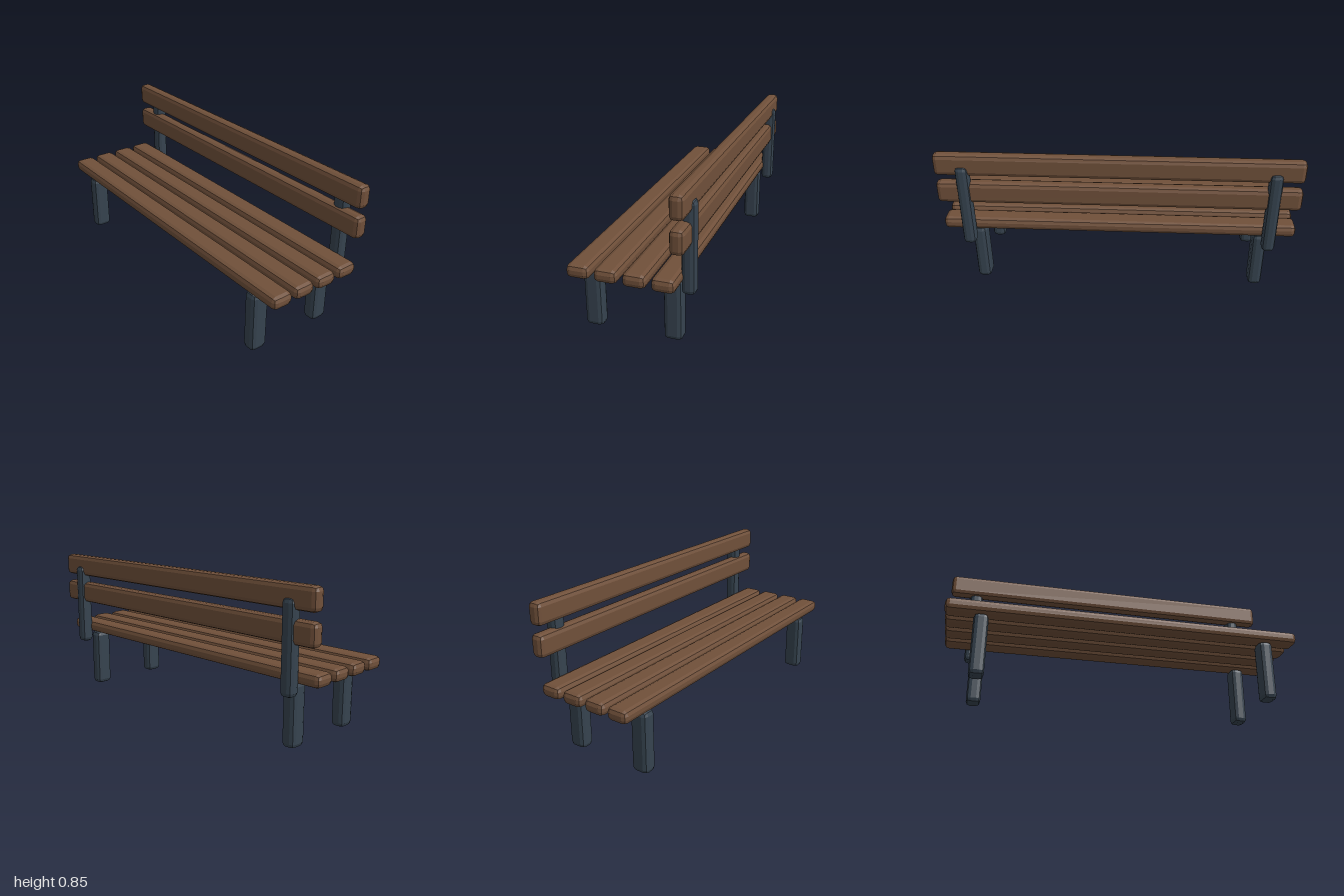
import * as THREE from 'three';
import { RoundedBoxGeometry } from 'three/addons/geometries/RoundedBoxGeometry.js';

export function createModel() {
  const bench = new THREE.Group();
  bench.name = 'bench';
  const wood = new THREE.MeshStandardMaterial({ color: 0x70503a, flatShading: true });
  const metal = new THREE.MeshStandardMaterial({ color: 0x36434f, flatShading: true });

  // Chamfered bar given by size and centre
  function bar(name, material, [w, h, d], [x, y, z], radius) {
    const mesh = new THREE.Mesh(new RoundedBoxGeometry(w, h, d, 1, radius), material);
    mesh.name = name;
    mesh.position.set(x, y, z);
    bench.add(mesh);
  }

  // Seat slats, front to back
  [0.25, 0.105, -0.042, -0.188].forEach((z, i) =>
    bar(`seatSlat${i + 1}`, wood, [2, 0.07, 0.12], [0, 0.387, z], 0.025));

  // Backrest slats
  bar('lowerBackSlat', wood, [2, 0.126, 0.075], [0, 0.618, -0.257], 0.025);
  bar('upperBackSlat', wood, [2, 0.126, 0.075], [0, 0.787, -0.257], 0.025);

  // Legs and back posts, mirrored left and right
  for (const [side, s] of [['left', 1], ['right', -1]]) {
    bar(`${side}FrontLeg`, metal, [0.08, 0.35, 0.1], [s * 0.807, 0.175, 0.251], 0.025);
    bar(`${side}RearLeg`, metal, [0.08, 0.35, 0.1], [s * 0.807, 0.175, -0.181], 0.025);
    bar(`${side}BackPost`, metal, [0.074, 0.492, 0.074], [s * 0.845, 0.538, -0.273], 0.025);
  }
  return bench;
}
